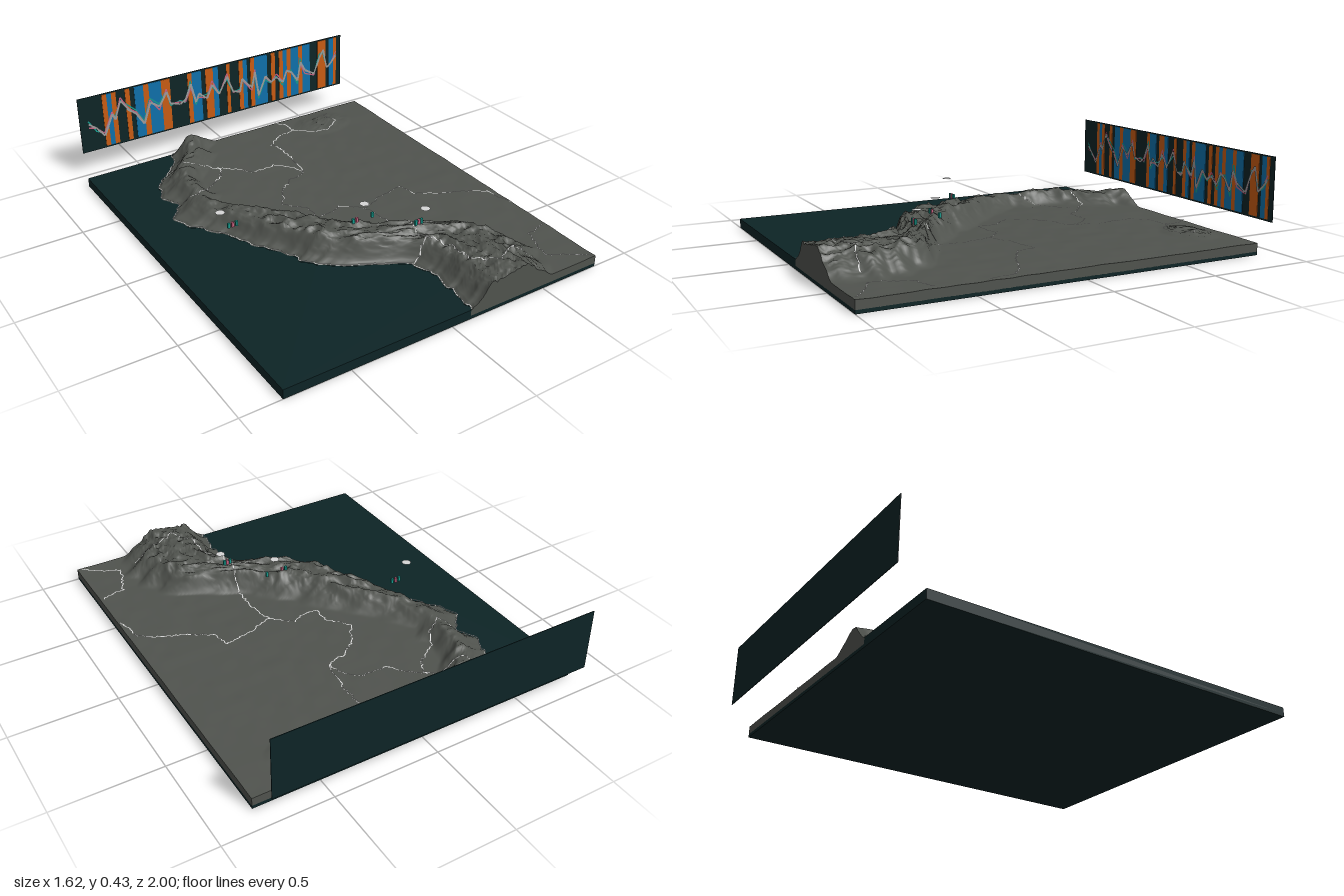
import * as THREE from 'three';

const mat = (name, color) => Object.assign(new THREE.MeshStandardMaterial({ color, side: THREE.DoubleSide }), { name });

// Terrain rows: z, coast x, crest x, eastern foot x, crest height
const ROWS = [
  [-0.89, -0.34, -0.24, -0.10, 0.145], [-0.77, -0.40, -0.28, -0.15, 0.13], [-0.70, -0.46, -0.33, -0.20, 0.13],
  [-0.63, -0.55, -0.40, -0.27, 0.13], [-0.55, -0.57, -0.43, -0.33, 0.135], [-0.51, -0.60, -0.44, -0.35, 0.13],
  [-0.45, -0.56, -0.45, -0.36, 0.13], [-0.40, -0.54, -0.45, -0.36, 0.12], [-0.34, -0.60, -0.46, -0.35, 0.115],
  [-0.30, -0.63, -0.46, -0.34, 0.115], [-0.21, -0.59, -0.44, -0.28, 0.125], [-0.15, -0.54, -0.42, -0.24, 0.13],
  [-0.05, -0.48, -0.37, -0.15, 0.145], [0.08, -0.42, -0.31, -0.05, 0.15], [0.21, -0.34, -0.23, 0.05, 0.155],
  [0.34, -0.29, -0.17, 0.18, 0.158], [0.45, -0.18, -0.04, 0.35, 0.16], [0.53, -0.02, 0.11, 0.50, 0.16],
  [0.60, 0.09, 0.20, 0.57, 0.16], [0.72, 0.125, 0.23, 0.62, 0.16], [0.93, 0.11, 0.23, 0.60, 0.16], [1.0, 0.095, 0.23, 0.58, 0.16],
];
// National borders as [x, z] polylines
const BORDERS = [
  [[-0.46, -0.70], [-0.36, -0.64], [-0.26, -0.65], [-0.22, -0.60], [-0.25, -0.53], [-0.35, -0.46], [-0.40, -0.39], [-0.47, -0.35], [-0.53, -0.40]],
  [[-0.23, -0.61], [-0.15, -0.55], [-0.10, -0.48], [0.03, -0.48], [0.10, -0.41], [0.12, -0.33], [0.03, -0.31], [-0.06, -0.24],
    [-0.13, -0.13], [-0.09, -0.08], [-0.05, -0.02], [-0.05, 0.06], [0.05, 0.06], [0.09, 0.03], [0.18, 0.12]],
  [[0.12, -0.33], [0.15, -0.50], [0.15, -0.63], [0.13, -0.68], [0.22, -0.74], [0.32, -0.76], [0.31, -0.84], [0.28, -0.89]],
  [[0.32, -0.76], [0.40, -0.68], [0.48, -0.66], [0.56, -0.72], [0.53, -0.79], [0.58, -0.83]],
  [[0.18, 0.12], [0.20, 0.24], [0.20, 0.40], [0.17, 0.53], [0.18, 0.59], [0.10, 0.61]],
  [[0.18, 0.12], [0.30, 0.07], [0.44, 0.04], [0.46, 0.13], [0.56, 0.20], [0.66, 0.24], [0.77, 0.31], [0.80, 0.45]],
  [[0.18, 0.59], [0.23, 0.68], [0.24, 0.82], [0.32, 0.91], [0.42, 0.86], [0.55, 0.88]],
  [[0.80, 0.68], [0.68, 0.71], [0.64, 0.82], [0.62, 0.88], [0.72, 0.93], [0.79, 0.99]],
];
// Backdrop bands as [left, right], and the plotted curve as [x, y]
const ORANGE = [[-0.655, -0.63], [-0.605, -0.58], [-0.53, -0.505], [-0.43, -0.40], [-0.33, -0.28], [-0.18, -0.155], [-0.075, -0.03],
  [0.05, 0.07], [0.125, 0.15], [0.195, 0.22], [0.325, 0.35], [0.375, 0.40], [0.425, 0.45], [0.50, 0.525], [0.625, 0.68], [0.73, 0.75]];
const BLUE = [[-0.63, -0.605], [-0.48, -0.43], [-0.40, -0.33], [-0.155, -0.10], [-0.03, 0], [0.15, 0.175], [0.22, 0.30],
  [0.40, 0.425], [0.45, 0.50], [0.525, 0.575], [0.70, 0.73]];
const CURVE = [[-0.74, 0.285], [-0.70, 0.255], [-0.66, 0.20], [-0.61, 0.31], [-0.595, 0.275], [-0.56, 0.37], [-0.52, 0.31], [-0.48, 0.275],
  [-0.44, 0.21], [-0.40, 0.32], [-0.35, 0.285], [-0.305, 0.355], [-0.285, 0.285], [-0.23, 0.265], [-0.20, 0.285], [-0.165, 0.365],
  [-0.14, 0.255], [-0.12, 0.30], [-0.075, 0.26], [-0.04, 0.33], [0, 0.265], [0.05, 0.355], [0.085, 0.26], [0.125, 0.245], [0.14, 0.32],
  [0.17, 0.285], [0.20, 0.255], [0.22, 0.34], [0.24, 0.20], [0.285, 0.30], [0.32, 0.26], [0.355, 0.275], [0.395, 0.24], [0.42, 0.30],
  [0.45, 0.285], [0.49, 0.225], [0.51, 0.33], [0.54, 0.275], [0.60, 0.24], [0.635, 0.33], [0.66, 0.37], [0.685, 0.255], [0.715, 0.285], [0.745, 0.32]];

const hash = (x, y) => { const s = Math.sin(x * 127.1 + y * 311.7) * 43758.5453; return s - Math.floor(s); };
const { smoothstep, lerp } = THREE.MathUtils;
function noise(x, y) {
  const i = Math.floor(x), j = Math.floor(y), u = smoothstep(x - i, 0, 1), v = smoothstep(y - j, 0, 1);
  return lerp(lerp(hash(i, j), hash(i + 1, j), u), lerp(hash(i, j + 1), hash(i + 1, j + 1), u), v);
}
function ridged(x, y) {
  let sum = 0, amp = 0.5;
  for (let o = 0; o < 4; o++, x *= 2.05, y *= 2.05, amp *= 0.5) sum += amp * (1 - Math.abs(2 * noise(x + o * 17, y) - 1));
  return sum;
}
function rowAt(z) {
  let k = 0;
  while (k < ROWS.length - 2 && z > ROWS[k + 1][0]) k++;
  const t = (z - ROWS[k][0]) / (ROWS[k + 1][0] - ROWS[k][0]);
  const r = ROWS[k].map((v, c) => lerp(v, ROWS[k + 1][c], t));
  r[1] += (noise(z * 45, 3) - 0.5) * 0.022;
  return r;
}
function height(x, z, row = rowAt(z)) {
  const [, coast, crest, east, top] = row;
  const inner = Math.max(crest, east - 0.17);
  const foot = east + (noise(z * 16, 9) - 0.5) * 0.08;
  const env = smoothstep(x, coast + 0.01, crest) * (1 - smoothstep(x, inner, Math.max(foot, inner + 0.04)));
  const plain = 0.044 + 0.009 * smoothstep(x, coast, coast + 0.02) + 0.004 * noise(x * 14, z * 14);
  const hills = 0.035 * Math.max(0, 1 - Math.hypot((x - 0.5) / 0.17, (z + 0.75) / 0.12)) * ridged(x * 18, z * 18);
  return plain + hills + (top - plain) * env * (0.52 + 0.65 * ridged((x - crest) * 13, z * 11));
}

function meshFrom(name, positions, index, material) {
  const g = new THREE.BufferGeometry();
  g.setAttribute('position', new THREE.Float32BufferAttribute(positions, 3));
  g.setIndex(index);
  g.computeVertexNormals();
  return Object.assign(new THREE.Mesh(g, material), { name });
}
// Flat strip of constant width along a path
function ribbon(name, points, width, up, material) {
  const pos = [], idx = [];
  for (let k = 0; k < points.length - 1; k++) {
    const a = points[k], b = points[k + 1], n = pos.length / 3;
    const side = up.clone().cross(b.clone().sub(a)).normalize().multiplyScalar(width / 2);
    for (const p of [a.clone().sub(side), b.clone().sub(side), b.clone().add(side), a.clone().add(side)]) pos.push(p.x, p.y, p.z);
    idx.push(n, n + 1, n + 2, n, n + 2, n + 3);
  }
  return meshFrom(name, pos, idx, material);
}
// Vertical wall from a terrain edge down to the base
function skirt(name, edge, material) {
  const pos = [], idx = [];
  edge.forEach((p, k) => {
    pos.push(p.x, 0.015, p.z, p.x, p.y, p.z);
    if (k) { const n = 2 * k; idx.push(n - 2, n, n + 1, n - 2, n + 1, n - 1); }
  });
  return meshFrom(name, pos, idx, material);
}

export function createModel() {
  const group = new THREE.Group();
  const water = mat('deep water', 0x0d2426), land = mat('land grey', 0x50534e), white = mat('border white', 0xd6d6d6);
  const orange = mat('warm orange', 0xc85c12), blue = mat('cool blue', 0x0e70aa), grey = mat('curve grey', 0x9c9c9c);
  const pink = mat('pink', 0xc8607f), teal = mat('teal', 0x159a8c);
  const UP = new THREE.Vector3(0, 1, 0), FRONT = new THREE.Vector3(0, 0, 1);
  const box = (name, x0, x1, y0, y1, z0, z1, m) => {
    const b = new THREE.Mesh(new THREE.BoxGeometry(x1 - x0, y1 - y0, z1 - z0), m);
    b.position.set((x0 + x1) / 2, (y0 + y1) / 2, (z0 + z1) / 2);
    b.name = name;
    group.add(b);
  };
  const Z0 = -0.89, Z1 = 1, E = 0.81, NZ = 210, NX = 160;

  // Base slab
  box('base', -E, E, 0, 0.016, Z0, Z1, water);

  // Land surface, stretched from the coast to the east edge
  const grid = [], idx = [];
  for (let i = 0; i <= NZ; i++) {
    const z = lerp(Z0, Z1, i / NZ), row = rowAt(z);
    for (let j = 0; j <= NX; j++) {
      const x = lerp(row[1], E, Math.pow(j / NX, 1.3));
      grid.push(new THREE.Vector3(x, height(x, z, row), z));
      if (i < NZ && j < NX) { const a = i * (NX + 1) + j, c = a + NX + 1; idx.push(a, c, a + 1, a + 1, c, c + 1); }
    }
  }
  group.add(meshFrom('terrain', grid.flatMap(p => [p.x, p.y, p.z]), idx, land));
  const front = grid.slice(-NX - 1), back = grid.slice(0, NX + 1).reverse();
  const east = grid.filter((p, k) => k % (NX + 1) === NX).reverse();
  group.add(skirt('frontWall', front, land), skirt('backWall', back, land), skirt('eastWall', east, land));

  // Ocean block following the coast
  const coast = grid.filter((p, k) => k % (NX + 1) === 0);
  const sea = new THREE.Shape([[-E, -Z1], ...coast.slice().reverse().map(p => [p.x, -p.z]), [-E, -Z0]].map(p => new THREE.Vector2(...p)));
  const ocean = new THREE.Mesh(new THREE.ExtrudeGeometry(sea, { depth: 0.03, bevelEnabled: false }).rotateX(-Math.PI / 2), water);
  ocean.position.y = 0.015;
  ocean.name = 'ocean';
  group.add(ocean);

  // Coastline and draped borders
  group.add(ribbon('coastline', coast.map(p => new THREE.Vector3(p.x, 0.051, p.z)), 0.005, UP, white));
  for (const line of BORDERS) {
    const pts = [];
    for (let k = 0; k < line.length - 1; k++) {
      const [ax, az] = line[k], [bx, bz] = line[k + 1], n = Math.ceil(Math.hypot(bx - ax, bz - az) / 0.009);
      for (let s = k ? 1 : 0; s <= n; s++) {
        const x = lerp(ax, bx, s / n) + (noise(pts.length * 0.6, k) - 0.5) * 0.016;
        const z = THREE.MathUtils.clamp(lerp(az, bz, s / n) + (noise(k, pts.length * 0.6) - 0.5) * 0.016, Z0, Z1);
        pts.push(new THREE.Vector3(x, height(x, z) + 0.004, z));
      }
    }
    group.add(ribbon('border', pts, 0.005, UP, white));
  }

  // Floating site discs with small coloured sample bars
  const sites = [
    [-0.53, 0.21, 0, [-0.49, -0.47, -0.45], 0.115], [0.03, 0.235, 0.32, [-0.03, -0.01, 0.075], 0.15], [0.235, 0.235, 0.5, [0.185, 0.20, 0.215], 0.165],
  ];
  for (const [x, y, z, bars, by] of sites) {
    const disc = new THREE.Mesh(new THREE.CircleGeometry(0.023, 8).rotateX(-Math.PI / 2), white);
    disc.position.set(x, y, z);
    disc.name = 'siteDisc';
    group.add(disc);
    bars.forEach((bx, k) => box('sampleBar', bx - 0.006, bx + 0.006, by, by + 0.025, z - 0.005, z + 0.005, [teal, pink, teal][k]));
  }

  // Backdrop panel with bands
  box('panel', -0.783, 0.78, 0.13, 0.43, -1, -0.997, water);
  for (const [a, b] of ORANGE) box('warmBand', a, b, 0.139, 0.424, -0.997, -0.995, orange);
  for (const [a, b] of BLUE) box('coolBand', a, b, 0.139, 0.424, -0.997, -0.995, blue);

  // Plotted curves
  [[teal, 0.007, 1], [pink, 0.007, 2], [grey, 0.011, 0]].forEach(([m, w, seed], layer) => {
    const pts = CURVE.map(([x, y], k) => new THREE.Vector3(x, y + (seed ? (hash(k, seed) - 0.5) * 0.05 : 0), -0.993 + layer * 0.002));
    group.add(ribbon('curve', pts, w, FRONT, m));
  });
  return group;
}
